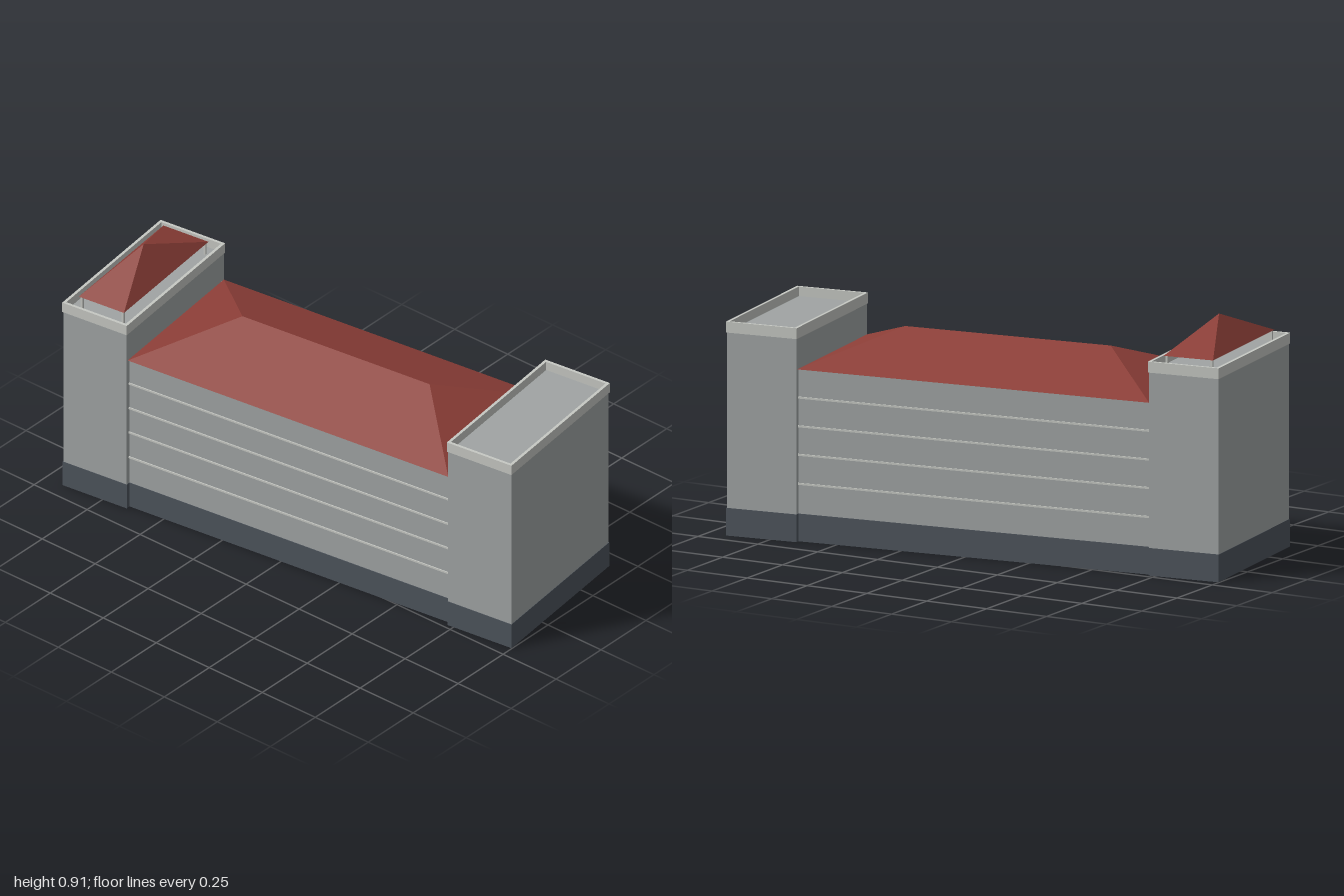
import * as THREE from 'three';

const mat = (name, color) => {
  const m = new THREE.MeshStandardMaterial({ color, side: THREE.DoubleSide });
  m.name = name;
  return m;
};

export function createModel() {
  const wall = mat('grey wall', 0xa0a4a4);
  const trim = mat('pale trim', 0xc6c8c3);
  const slate = mat('slate plinth', 0x4d545c);
  const tile = mat('red roof', 0x8c3e37);

  const add = (parent, name, geometry, material, x = 0, y = 0, z = 0) => {
    const mesh = new THREE.Mesh(geometry, material);
    mesh.name = name;
    mesh.position.set(x, y, z);
    parent.add(mesh);
    return mesh;
  };

  // Rectangular frame of walls, open above and below, standing on y = 0
  const frame = (w, d, t, h) => {
    const rect = (P, a, b) => new P([[-a, -b], [a, -b], [a, b], [-a, b]].map(p => new THREE.Vector2(...p)));
    const shape = rect(THREE.Shape, w / 2, d / 2);
    shape.holes.push(rect(THREE.Path, w / 2 - t, d / 2 - t));
    return new THREE.ExtrudeGeometry(shape, { depth: h, bevelEnabled: false }).rotateX(-Math.PI / 2);
  };

  // Hipped roof: half length a, half depth b, half ridge r, height h
  const hipRoof = (a, b, r, h) => {
    const A = [-a, 0, b], B = [a, 0, b], C = [a, 0, -b], D = [-a, 0, -b];
    const L = [-r, h, 0], R = [r, h, 0];
    const faces = [A, B, R, C, D, L, B, C, R, D, A, L, A, D, C, A, C, B];
    if (r > 0) faces.push(A, R, L, C, L, R);
    const g = new THREE.BufferGeometry();
    g.setAttribute('position', new THREE.Float32BufferAttribute(faces.flat(), 3));
    g.computeVertexNormals();
    return g;
  };

  const building = new THREE.Group();
  building.name = 'building';
  building.rotation.y = 0.122;

  // Long central block: front and back walls with plinth and floor bands
  const block = new THREE.Group();
  block.name = 'centralBlock';
  building.add(block);
  for (const s of [1, -1]) {
    const side = s > 0 ? 'front' : 'back';
    add(block, side + 'Wall', new THREE.BoxGeometry(1.384, 0.636, 0.004), wall, 0, 0.318, s * 0.3);
    add(block, side + 'Plinth', new THREE.BoxGeometry(1.384, 0.102, 0.002), slate, 0, 0.051, s * 0.303);
    for (const y of [0.212, 0.319, 0.424, 0.53]) {
      add(block, side + 'FloorBand', new THREE.BoxGeometry(1.384, 0.007, 0.004), trim, 0, y, s * 0.304);
    }
  }
  add(block, 'mainRoof', hipRoof(0.69, 0.315, 0.403, 0.121), tile, 0, 0.636, 0);

  // End towers with recessed flat decks and parapets
  for (const s of [1, -1]) {
    const tower = new THREE.Group();
    tower.name = s > 0 ? 'leftTower' : 'rightTower';
    tower.position.x = s * 0.828;
    building.add(tower);
    add(tower, 'towerWalls', frame(0.273, 0.638, 0.004, 0.75), wall);
    add(tower, 'towerPlinth', frame(0.276, 0.641, 0.0015, 0.102), slate);
    add(tower, 'deck', new THREE.BoxGeometry(0.27, 0.004, 0.635), wall, 0, 0.752, 0);
    add(tower, 'parapet', frame(0.278, 0.645, 0.011, 0.04), trim, 0, 0.749, 0);
    if (s > 0) continue;

    // Canopy on four corner posts
    for (const x of [-0.088, 0.088]) {
      for (const z of [-0.268, 0.268]) {
        add(tower, 'canopyPost', new THREE.BoxGeometry(0.009, 0.053, 0.009), trim, x, 0.7795, z);
      }
    }
    add(tower, 'canopyRoof', hipRoof(0.097, 0.277, 0, 0.108), tile, 0, 0.805, 0);
  }

  const model = new THREE.Group();
  model.name = 'model';
  model.add(building);
  return model;
}
